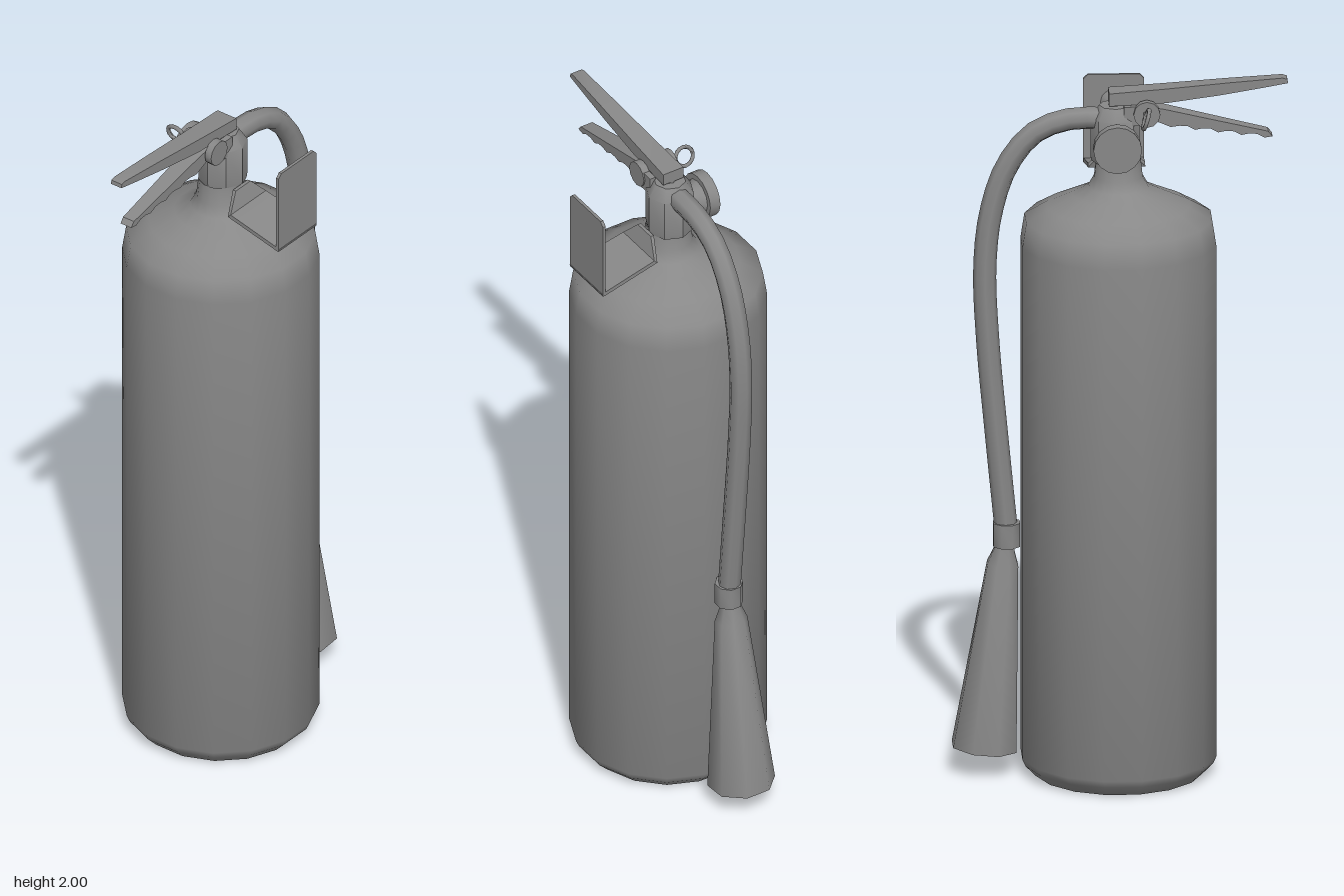
import * as THREE from 'three';
import { toCreasedNormals } from 'three/addons/utils/BufferGeometryUtils.js';

const grey = new THREE.MeshStandardMaterial({ color: 0x888888 });

export function createModel() {
  const model = new THREE.Group();
  const add = (name, geometry, crease = 0.6) => {
    const mesh = new THREE.Mesh(toCreasedNormals(geometry, crease), grey);
    mesh.name = name;
    model.add(mesh);
    return mesh;
  };
  const V2 = (list) => list.map(([x, y]) => new THREE.Vector2(x, y));

  // Turned part with flats facing the axes; profile is [radius, y] from bottom to top
  const turned = (profile, sides) =>
    new THREE.LatheGeometry(V2(profile), sides, Math.PI / sides);

  // Flat outline extruded to a thickness centred on z = 0
  const slab = (outline, thickness) =>
    new THREE.ExtrudeGeometry(new THREE.Shape(V2(outline)), { depth: thickness, bevelEnabled: false })
      .translate(0, 0, -thickness / 2);

  // Scales z (or x) of each vertex by a rule
  const taper = (geometry, axis, rule) => {
    const p = geometry.attributes.position;
    for (let i = 0; i < p.count; i++) {
      const k = rule(p.getX(i), p.getY(i));
      if (axis === 'x') p.setX(i, p.getX(i) * k);
      else p.setZ(i, p.getZ(i) * k);
    }
    return geometry;
  };

  // Cylinder along z between two z values
  const discZ = (r0, r1, z0, z1, x, y, sides = 12) =>
    new THREE.CylinderGeometry(r1, r0, z1 - z0, sides)
      .rotateX(Math.PI / 2).translate(x, y, (z0 + z1) / 2);

  // Tank with softly shaded shoulder and neck, closed by a flat base
  add('tank', turned([
    [0.235, 0], [0.264, 0.03], [0.273, 0.05], [0.273, 1.53], [0.262, 1.6],
    [0.2, 1.636], [0.13, 1.668], [0.085, 1.69], [0.068, 1.72], [0.062, 1.775],
  ], 16), 1.1).position.x = 0.003;
  add('tankBase', turned([[0, 0], [0.235, 0]], 16)).position.x = 0.003;

  // Valve body
  add('valve', new THREE.LatheGeometry(V2([
    [0, 1.765], [0.066, 1.765], [0.068, 1.78], [0.068, 1.89], [0.045, 1.925], [0, 1.925],
  ]), 8), 0.7).position.x = 0.012;
  add('valveStem', new THREE.CylinderGeometry(0.018, 0.018, 0.06, 8).translate(0.012, 1.92, 0));

  // Hinge lugs and pin that carry the two levers
  for (const s of [-1, 1]) {
    add('hingeLug', discZ(0.037, 0.037, -0.011, 0.011, -0.073, 1.912).translate(0, 0, s * 0.046 - 0.003));
    add('hingeCheek', new THREE.BoxGeometry(0.07, 0.055, 0.018).translate(-0.045, 1.905, s * 0.041));
  }
  add('hingePin', discZ(0.014, 0.014, -0.058, 0.052, -0.073, 1.912, 8));

  // Upper lever, narrowing toward its tip
  const upper = slab([
    [-0.465, 1.985], [-0.4, 1.974], [-0.28, 1.955], [-0.13, 1.936], [0.03, 1.93],
    [0.03, 1.966], [-0.12, 1.976], [-0.3, 1.99], [-0.45, 2.0], [-0.463, 1.996],
  ], 0.066);
  add('upperLever', taper(upper, 'z', (x) => 1 + (x - 0.03) * 0.9));

  // Lower lever with finger scallops underneath
  const grip = [[-0.04, 1.93], [-0.12, 1.918], [-0.25, 1.886], [-0.41, 1.847], [-0.422, 1.832]];
  const scallops = 4;
  for (let i = 0; i < scallops; i++) {
    const x = -0.4 + i * 0.064;
    const y = 1.829 + i * 0.009;
    grip.push([x, y], [x + 0.02, y + 0.011], [x + 0.042, y + 0.013]);
  }
  grip.push([-0.14, 1.866], [-0.09, 1.888], [-0.04, 1.89]);
  add('lowerLever', taper(slab(grip, 0.06), 'z', (x) => 1 + x * 0.9));

  // Pressure gauge on the back, on a flared stem
  add('gaugeStem', discZ(0.052, 0.036, -0.092, -0.055, 0.012, 1.83));
  add('gaugeRoot', discZ(0.036, 0.036, -0.055, -0.03, 0.012, 1.83));
  add('gauge', discZ(0.067, 0.067, -0.124, -0.091, 0.011, 1.83, 16));

  // Tilted pull ring beside the gauge, with its pin
  add('safetyPin', discZ(0.008, 0.008, -0.075, -0.05, -0.07, 1.915, 6));
  add('pullRing', new THREE.TorusGeometry(0.028, 0.006, 6, 16)
    .rotateY(Math.PI / 2).rotateZ(0.3).translate(-0.069, 1.912, -0.1), 1.2);

  // Bent hanging strip leading from the valve to the plate
  const strip = slab([
    [0.068, 1.775], [0.086, 1.717], [0.262, 1.677], [0.27, 1.684], [0.262, 1.689], [0.096, 1.727], [0.078, 1.775],
  ], 0.166).rotateY(-Math.PI / 2);
  add('bracketStrip', taper(strip, 'x', (x, y) => (y > 1.75 ? 0.4 : y > 1.71 ? 0.95 : 1)))
    .position.x = 0.003;

  // Upright plate with clipped corners and a round boss on its inner side
  add('bracketPlate', slab([
    [-0.081, 1.678], [0.087, 1.678], [0.087, 1.918], [0.075, 1.93], [-0.069, 1.93], [-0.081, 1.918],
  ], 0.009).translate(0, 0, 0.264));
  add('plateBoss', discZ(0.018, 0.04, 0.246, 0.262, 0.003, 1.85));

  // Hose
  const path = new THREE.CatmullRomCurve3([
    [0.04, 1.887], [0.14, 1.885], [0.235, 1.848], [0.31, 1.755], [0.355, 1.62], [0.372, 1.46],
    [0.364, 1.25], [0.342, 1.0], [0.311, 0.68],
  ].map(([x, y]) => new THREE.Vector3(x, y, 0)));
  add('hose', new THREE.TubeGeometry(path, 28, 0.032, 8), 0.9);

  // Collar and discharge horn, leaning outward
  add('hornCollar', turned([[0, -0.034], [0.04, -0.034], [0.04, 0.034], [0, 0.034]], 8), 0.9)
    .position.set(0.312, 0.688, 0);
  const horn = add('horn', turned([
    [0, -0.592], [0.095, -0.592], [0.046, -0.06], [0.03, -0.018], [0.028, 0.02], [0, 0.02],
  ], 8), 0.9);
  horn.position.set(0.317, 0.662, 0);
  horn.rotation.z = 0.096;

  return model;
}
